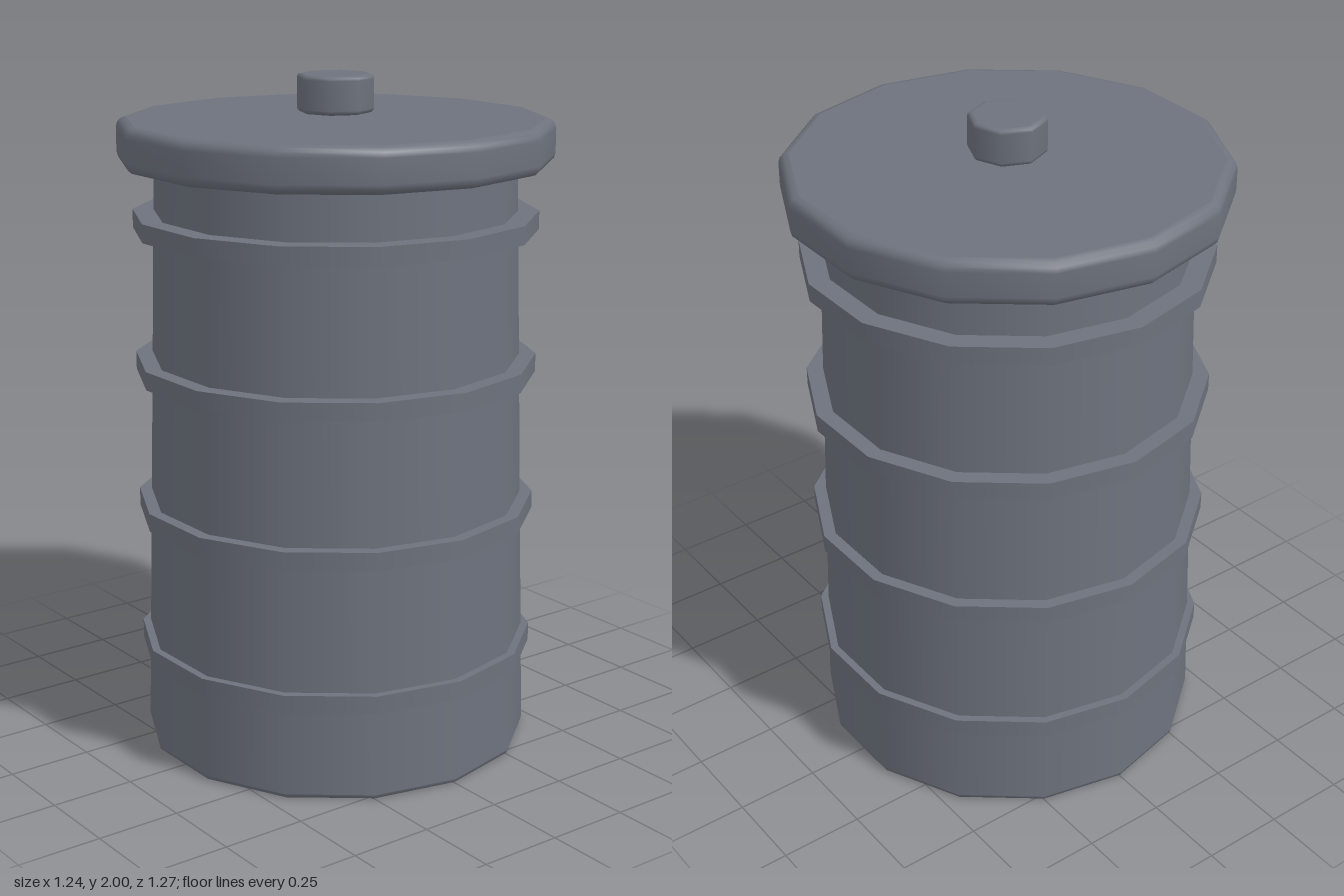
import * as THREE from 'three';
import { mergeGeometries } from 'three/addons/utils/BufferGeometryUtils.js';

const SIDES = 14;

// Turned shape: each strip of [radius, y] points is smooth, with a crease between strips
function turned(strips, sides) {
  return mergeGeometries(strips.map((strip) =>
    new THREE.LatheGeometry(strip.map(([r, y]) => new THREE.Vector2(r, y)), sides)));
}

// Closed disc with rounded top and bottom rims; bevel is the rim radius
function roundedDisc(radius, y0, y1, bevel, sides) {
  const side = [];
  for (let i = 0; i <= 3; i++) {
    const a = (i / 3) * Math.PI / 2;
    side.push([radius - bevel * (1 - Math.sin(a)), y0 + bevel * (1 - Math.cos(a))]);
  }
  const upper = side.map(([r, y]) => [r, y0 + y1 - y]).reverse();
  const rim = radius - bevel;
  return turned([[[0, y0], [rim, y0]], [...side, ...upper], [[rim, y1], [0, y1]]], sides);
}

export function createModel() {
  const group = new THREE.Group();
  const steel = new THREE.MeshStandardMaterial({ color: 0x6d727d });
  steel.name = 'blue grey steel';

  const add = (name, geometry) => {
    const mesh = new THREE.Mesh(geometry, steel);
    mesh.name = name;
    group.add(mesh);
    return mesh;
  };

  // Tapered body with a softened bottom edge
  add('body', turned([
    [[0, 0], [0.57, 0]],
    [[0.57, 0], [0.577, 0.004], [0.58, 0.014]],
    [[0.58, 0.014], [0.528, 1.75]],
    [[0.528, 1.75], [0, 1.75]],
  ], SIDES));

  // Four square-edged hoops around the body
  const hoop = turned([
    [[0.51, -0.027], [0.594, -0.027]],
    [[0.594, -0.027], [0.594, 0.027]],
    [[0.594, 0.027], [0.51, 0.027]],
  ], SIDES);
  for (let i = 0; i < 4; i++) {
    add('hoop' + (i + 1), hoop).position.y = 0.297 + i * 0.427;
  }

  // Overhanging lid and the knob just above it
  add('lid', roundedDisc(0.636, 1.745, 1.875, 0.03, SIDES));
  add('knob', roundedDisc(0.112, 1.89, 2.0, 0.013, 8));

  return group;
}
